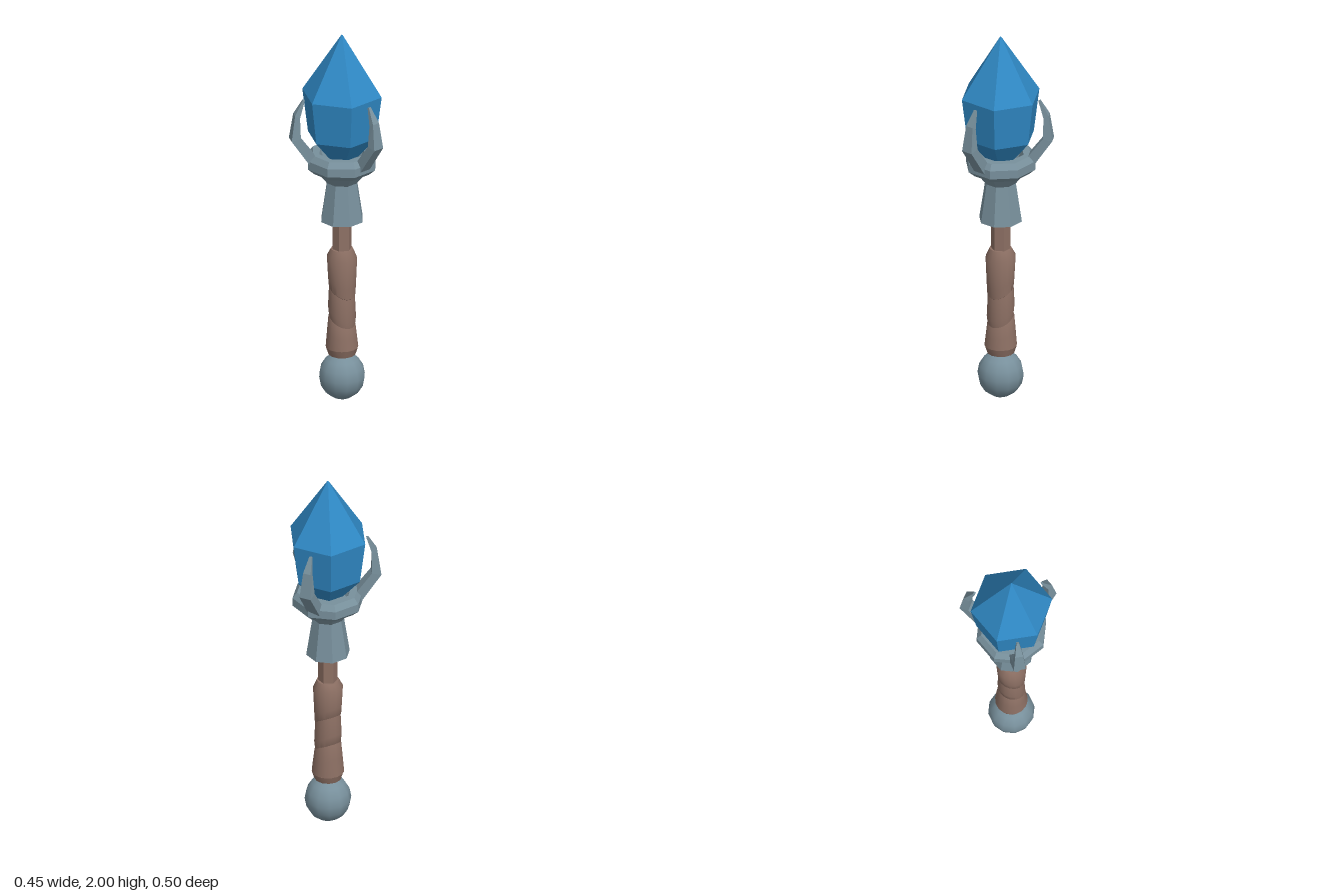
import * as THREE from 'three';
import { toCreasedNormals } from 'three/addons/utils/BufferGeometryUtils.js';

const AXIS_X = -0.045;

// Faceted look: every face gets its own normal
function flat(geometry) {
  const g = geometry.index ? geometry.toNonIndexed() : geometry;
  g.computeVertexNormals();
  return g;
}

// Turned part; profile is [radius, y] from bottom to top
function turned(profile, sides, phase = 0) {
  return new THREE.LatheGeometry(profile.map(([r, y]) => new THREE.Vector2(r, y)), sides, phase);
}

// Curved prong made of rectangular sections: [inner r, inner y, outer r, outer y, half width]
function prongGeometry() {
  const sections = [
    [0.125, 1.33, 0.165, 1.295, 0.034],
    [0.222, 1.46, 0.27, 1.45, 0.031],
    [0.224, 1.57, 0.25, 1.585, 0.021],
    [0.195, 1.66, 0.205, 1.663, 0.007],
  ];
  const pos = [];
  for (const [ri, yi, ro, yo, w] of sections) {
    pos.push(ri, yi, w, ro, yo, w, ro, yo, -w, ri, yi, -w);
  }
  const index = [0, 2, 1, 0, 3, 2];
  for (let s = 0; s < sections.length - 1; s++) {
    for (let k = 0; k < 4; k++) {
      const a = s * 4 + k, b = s * 4 + (k + 1) % 4;
      index.push(a, b, b + 4, a, b + 4, a + 4);
    }
  }
  const t = (sections.length - 1) * 4;
  index.push(t, t + 1, t + 2, t, t + 2, t + 3);
  const g = new THREE.BufferGeometry();
  g.setAttribute('position', new THREE.Float32BufferAttribute(pos, 3));
  g.setIndex(index);
  return flat(g);
}

// Leather sleeve whose bottom and top edges are slanted down toward +x
function sleeveGeometry(profile, slantBottom, slantTop) {
  const g = turned(profile, 16);
  const y0 = profile[0][1], y1 = profile[profile.length - 1][1];
  const p = g.attributes.position;
  for (let i = 0; i < p.count; i++) {
    const t = (p.getY(i) - y0) / (y1 - y0);
    const slant = THREE.MathUtils.lerp(slantBottom, slantTop, t);
    p.setY(i, p.getY(i) - slant * p.getX(i));
  }
  g.computeVertexNormals();
  return toCreasedNormals(g, 0.7);
}

export function createModel() {
  const crystalBlue = new THREE.MeshStandardMaterial({ color: 0x2f88c4 });
  crystalBlue.name = 'crystal blue';
  const steel = new THREE.MeshStandardMaterial({ color: 0x78909c });
  steel.name = 'steel grey';
  const leather = new THREE.MeshStandardMaterial({ color: 0x8d7064 });
  leather.name = 'leather brown';

  const model = new THREE.Group();
  model.name = 'sceptre';
  const add = (name, geometry, material) => {
    const mesh = new THREE.Mesh(geometry, material);
    mesh.name = name;
    mesh.position.x = AXIS_X;
    model.add(mesh);
    return mesh;
  };

  // Hexagonal crystal
  add('crystal', flat(turned([
    [0, 1.34], [0.085, 1.34], [0.18, 1.45], [0.21, 1.68], [0.004, 2], [0, 2],
  ], 6)), crystalBlue);

  // Octagonal socket with collar and hollow cup
  add('socket', flat(turned([
    [0, 0.985], [0.113, 0.985], [0.081, 1.195], [0.125, 1.25], [0.15, 1.255],
    [0.184, 1.285], [0.184, 1.33], [0.16, 1.36], [0.122, 1.36], [0.1, 1.3], [0, 1.3],
  ], 8, Math.PI / 8)), steel);

  // Three prongs around the crystal
  const prong = prongGeometry();
  for (let i = 0; i < 3; i++) {
    add('prong' + (i + 1), prong, steel).rotation.y = i * Math.PI * 2 / 3;
  }

  // Hexagonal shaft
  const shaft = new THREE.CylinderGeometry(0.05, 0.05, 0.8, 6, 1, false, Math.PI / 6);
  shaft.translate(0, 0.62, 0);
  add('shaft', flat(shaft), leather);

  // Overlapping wraps of the grip
  add('upperWrap', sleeveGeometry([
    [0.055, 0.585], [0.068, 0.6], [0.071, 0.65], [0.077, 0.78], [0.056, 0.825], [0, 0.825],
  ], 0.6, 0), leather);
  add('middleWrap', sleeveGeometry([
    [0.052, 0.42], [0.066, 0.432], [0.071, 0.48], [0.066, 0.59], [0.06, 0.63],
  ], 0.6, 0.6), leather);
  add('lowerWrap', sleeveGeometry([
    [0.083, 0.285], [0.076, 0.36], [0.069, 0.43], [0.058, 0.46],
  ], 0, 0.6), leather);
  add('gripEnd', toCreasedNormals(turned([
    [0, 0.245], [0.07, 0.245], [0.083, 0.285], [0, 0.29],
  ], 12), 0.6), leather);

  // Rounded pommel
  const pommel = new THREE.SphereGeometry(0.119, 12, 8);
  pommel.scale(1, 1.06, 1);
  pommel.translate(0, 0.126, 0);
  add('pommel', pommel, steel);

  return model;
}
